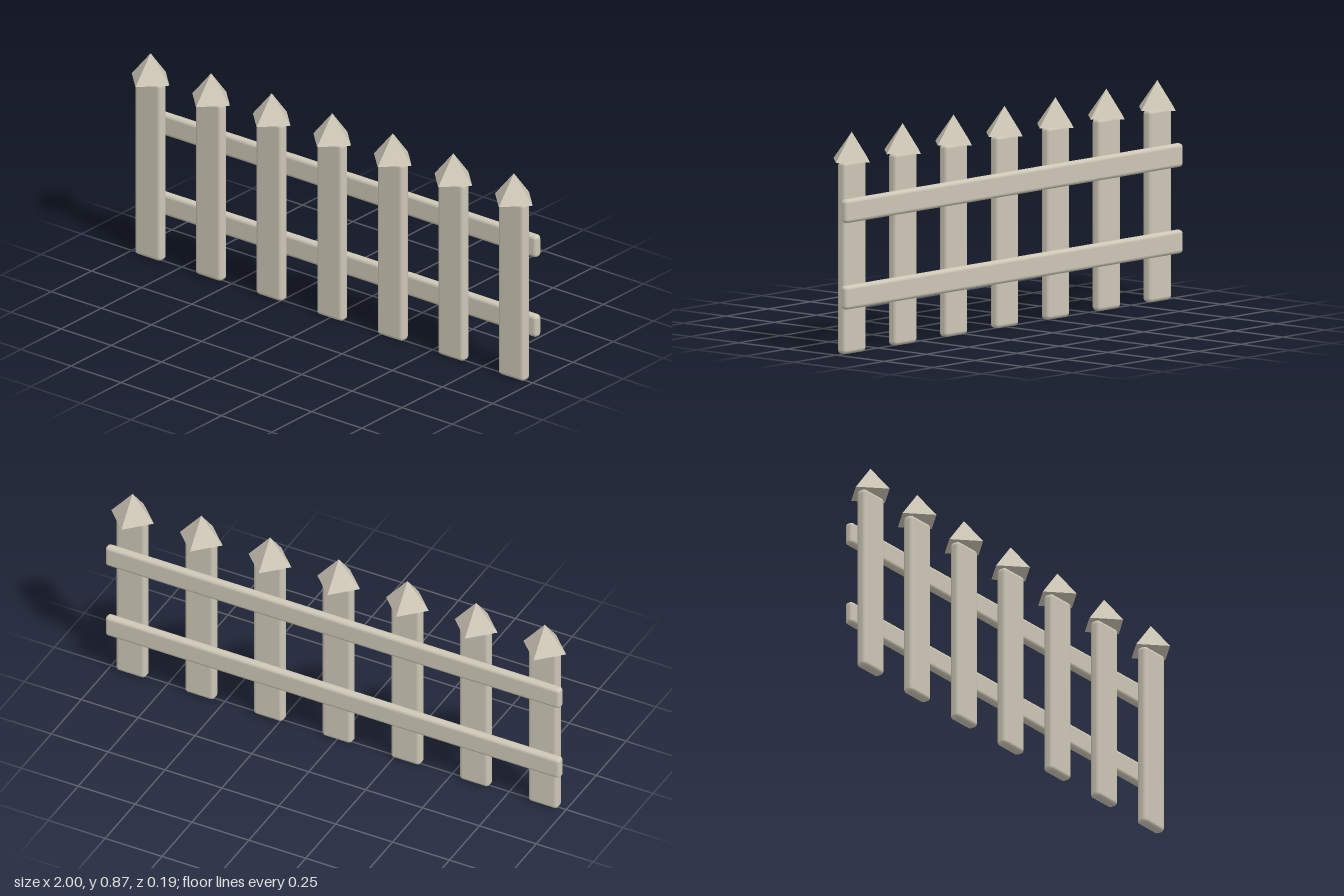
import * as THREE from 'three';
import { RoundedBoxGeometry } from 'three/addons/geometries/RoundedBoxGeometry.js';

export function createModel() {
  const fence = new THREE.Group();
  fence.name = 'picketFence';

  const wood = new THREE.MeshStandardMaterial({ color: 0xcdc7b6 });
  wood.name = 'paleWood';
  // same paint, faceted for the pointed caps
  const facetedWood = wood.clone();
  facetedWood.flatShading = true;
  facetedWood.name = 'paleWoodFaceted';

  const add = (name, geometry, material, x, y, z) => {
    const mesh = new THREE.Mesh(geometry, material);
    mesh.name = name;
    mesh.position.set(x, y, z);
    fence.add(mesh);
  };

  // Upright pickets, each topped by a four-sided point
  const postHeight = 0.757, capHeight = 0.112, capRadius = 0.094;
  const postGeometry = new RoundedBoxGeometry(0.13, postHeight, 0.045, 4, 0.016);
  const capGeometry = new THREE.ConeGeometry(capRadius, capHeight, 4);
  for (let i = -3; i <= 3; i++) {
    const x = i * 0.302;
    add('picket', postGeometry, wood, x, postHeight / 2, 0);
    add('picketCap', capGeometry, facetedWood, x, 0.756 + capHeight / 2, 0);
  }

  // Two horizontal rails behind the pickets
  const railGeometry = new RoundedBoxGeometry(2, 0.093, 0.037, 4, 0.015);
  add('lowerRail', railGeometry, wood, 0, 0.228, -0.038);
  add('upperRail', railGeometry, wood, 0, 0.568, -0.038);

  return fence;
}
